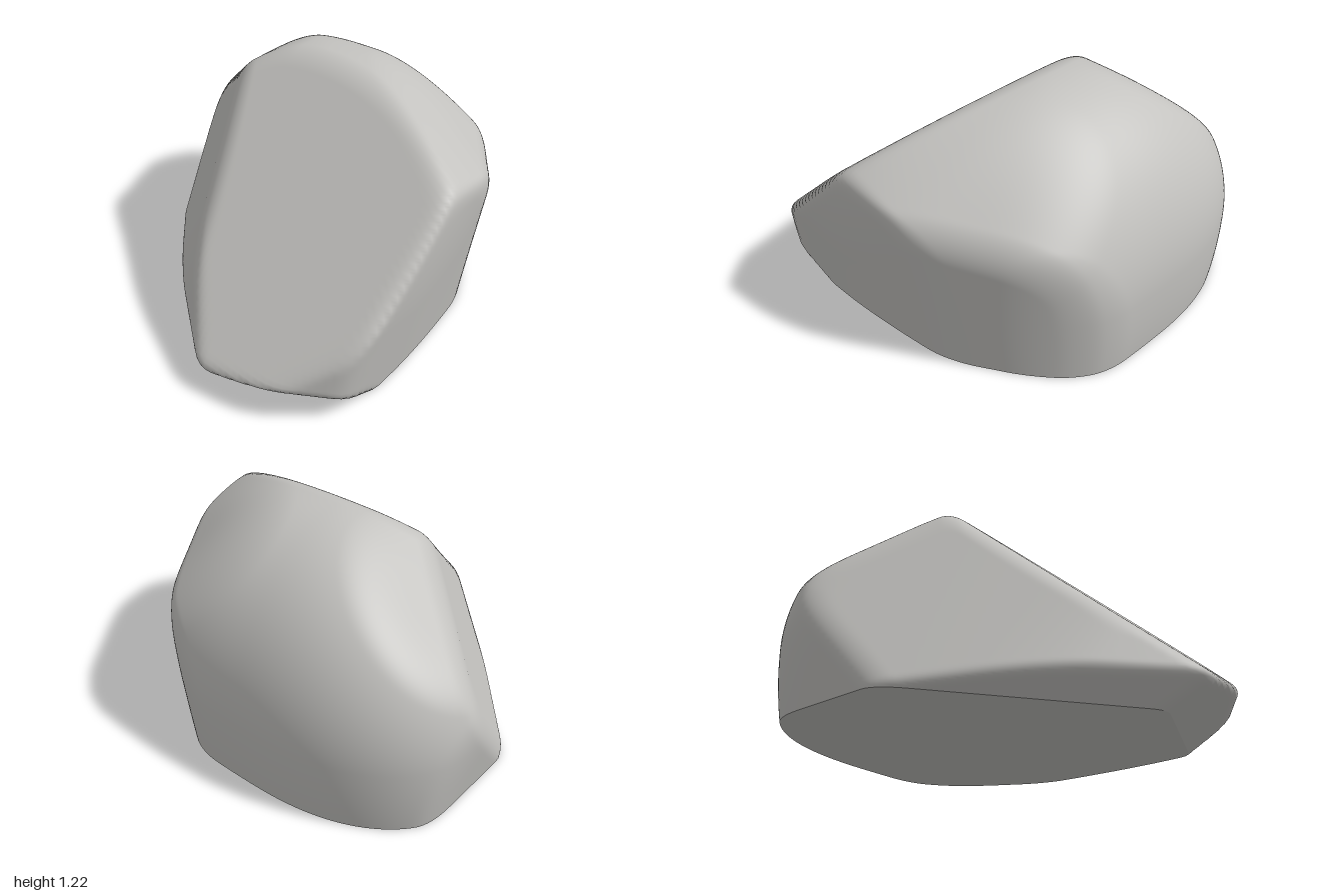
import * as THREE from 'three';

// Point inside the boulder from which the surface is measured
const CORE = new THREE.Vector3(0, 0.35, -0.25);

// Cut faces: normal, distance from the origin, softness of the edge
const CUTS = [
  [[-0.635, 0.772, 0], 1.105, 0.08],       // left shoulder
  [[-0.97, -0.22, 0], 0.855, 0.06],        // left flank
  [[0.54, 0.715, -0.445], 1.24, 0.15],     // back right shoulder
  [[0.859, -0.12, -0.512], 0.885, 0.12],   // back right flank
  [[0.6, -0.1, -0.8], 0.985, 0.1],         // back right corner
  [[0.97, -0.17, -0.14], 0.832, 0.06],     // right flank
  [[0.98, -0.18, 0], 0.847, 0.06],         // front part of the right flank
  [[1, 0, 0], 0.985, 0.06],                // right bulge
  [[0, 0.743, 0.669], 0.782, 0.07],        // sloping front face
  [[-0.725, 0.336, 0.6], 0.626, 0.08],     // front left face
  [[-0.62, 0.2, 0.745], 0.645, 0.06],      // lower front left face
  [[0.636, 0, 0.772], 1.14, 0.08],         // front right corner
  [[0.193, -0.862, 0.469], 0.41, 0.05],    // right undercut
  [[-0.408, -0.736, 0.538], 0.347, 0.05],  // left undercut
  [[0, 0, 1], 1.0, 0.04],                  // blunt front tip
].map(([n, d, soft]) => {
  const normal = new THREE.Vector3(...n);
  return { normal, reach: d - normal.dot(CORE), soft };
});

function softMin(a, b, k) {
  const h = Math.max(k - Math.abs(a - b), 0) / k;
  return Math.min(a, b) - h * h * k / 4;
}

// Distance from the core to the surface: a rounded dome trimmed by the cuts
function radius(dir) {
  const x = Math.abs(dir.x) / (dir.x > 0 ? 1.3 : 1.0);
  const y = Math.abs(dir.y) / (dir.y > 0 ? 0.875 : 1.4);
  const z = Math.abs(dir.z) / (dir.z > 0 ? 3 : 0.75);
  const plan = Math.pow(Math.pow(x, 2.5) + Math.pow(z, 2.5), 0.4);
  let r = 1 / Math.hypot(plan, y);
  for (const { normal, reach, soft } of CUTS) {
    const facing = normal.dot(dir);
    if (facing > 0.01) r = softMin(r, reach / facing, soft);
  }
  return r;
}

function surfacePoint(phi, theta) {
  const dir = new THREE.Vector3().setFromSphericalCoords(1, phi, theta);
  return dir.clone().multiplyScalar(radius(dir)).add(CORE);
}

// Polar angle at which the surface reaches the ground
function groundAngle(theta) {
  let lo = Math.PI / 2, hi = Math.PI;
  for (let i = 0; i < 30; i++) {
    const mid = (lo + hi) / 2;
    if (surfacePoint(mid, theta).y > 0) lo = mid; else hi = mid;
  }
  return lo;
}

function makeGeometry(points, index) {
  const g = new THREE.BufferGeometry().setFromPoints(points);
  g.setIndex(index);
  g.computeVertexNormals();
  return g;
}

export function createModel() {
  const group = new THREE.Group();
  group.name = 'boulder';
  const stone = new THREE.MeshStandardMaterial({ color: 0xc3c2bf });
  stone.name = 'light grey stone';

  // Body: rings running from the crown down to the ground
  const rings = 150, sides = 220;
  const angles = Array.from({ length: sides }, (_, j) => j / sides * Math.PI * 2);
  const limits = angles.map(groundAngle);
  const points = [surfacePoint(0, 0)];
  const index = [];
  const at = (i, j) => 1 + (i - 1) * sides + j % sides;
  for (let i = 1; i <= rings; i++) {
    for (let j = 0; j < sides; j++) {
      const p = surfacePoint(limits[j] * i / rings, angles[j]);
      if (i === rings) p.y = 0;
      points.push(p);
      if (i === 1) index.push(0, at(1, j), at(1, j + 1));
      else index.push(at(i - 1, j), at(i, j), at(i, j + 1), at(i - 1, j), at(i, j + 1), at(i - 1, j + 1));
    }
  }
  const body = new THREE.Mesh(makeGeometry(points, index), stone);
  body.name = 'rockBody';
  group.add(body);

  // Flat underside closing the lowest ring
  const rim = points.slice(-sides);
  const fan = [];
  for (let j = 0; j < sides; j++) fan.push(0, 1 + (j + 1) % sides, 1 + j);
  const base = new THREE.Mesh(makeGeometry([new THREE.Vector3(0, 0, CORE.z), ...rim], fan), stone);
  base.name = 'flatUnderside';
  group.add(base);

  return group;
}
